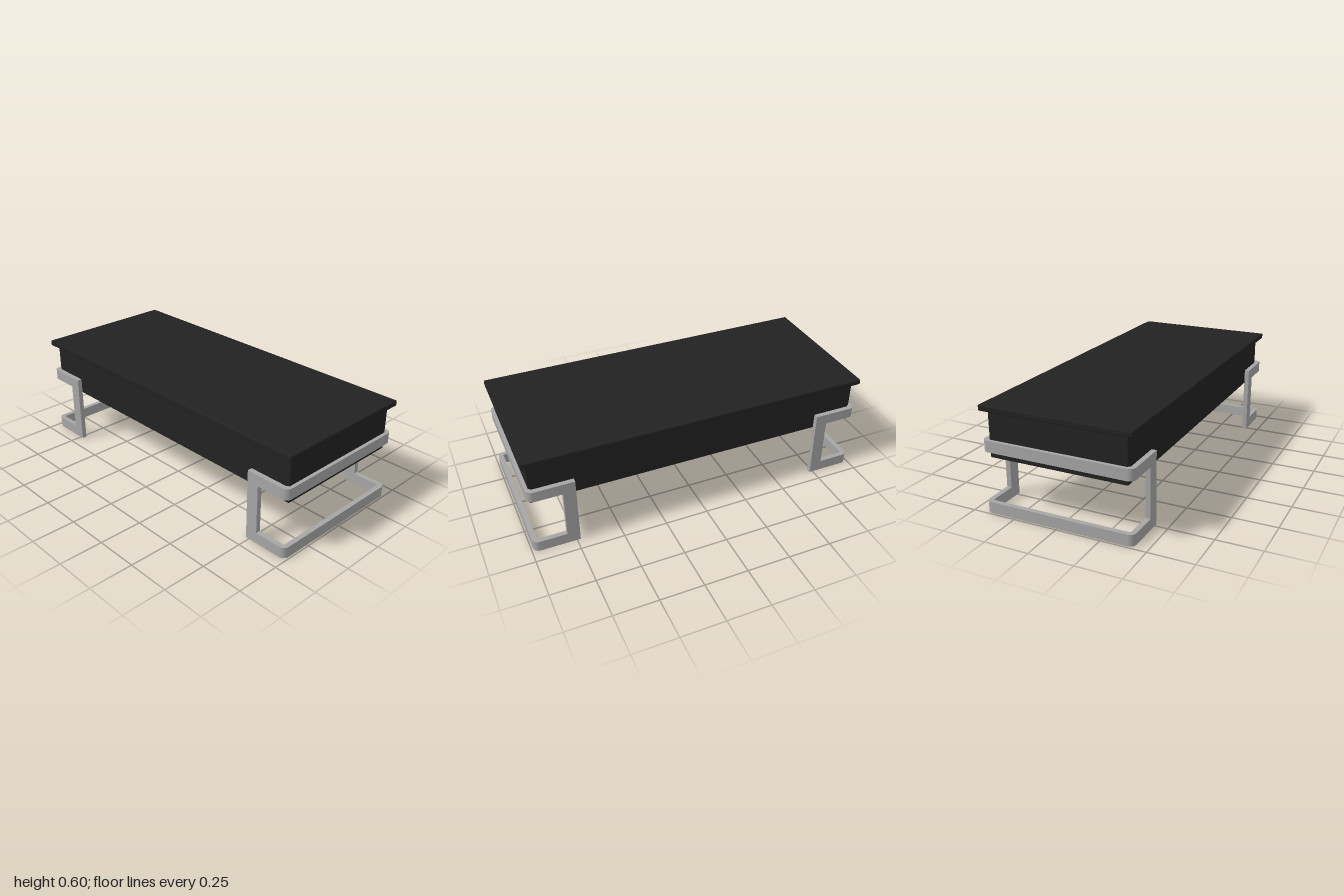
import * as THREE from 'three';
import { toCreasedNormals } from 'three/addons/utils/BufferGeometryUtils.js';
import { RoundedBoxGeometry } from 'three/addons/geometries/RoundedBoxGeometry.js';

const black = new THREE.MeshStandardMaterial({ color: 0x222222 });
black.name = 'blackWood';
const steel = new THREE.MeshStandardMaterial({ color: 0xa6a6a6 });
steel.name = 'brushedSteel';

const INNER_X = 0.73, POST_X = 0.8, OUTER_X = 0.99; // frame extents along x
const OUTER_Z = 0.428, BAR = 0.028, CORNER = 0.035; // half depth, bar thickness, bend radius
const BAND_H = 0.063, FRAME_H = 0.407;

function addMesh(parent, name, geometry, material, x, y, z) {
  const mesh = new THREE.Mesh(geometry, material);
  mesh.name = name;
  mesh.position.set(x, y, z);
  parent.add(mesh);
  return mesh;
}

// U-shaped flat bar wrapping one end of the table
function bandGeometry() {
  const x = OUTER_X, z = OUTER_Z, r = CORNER, t = BAR, ri = r - t;
  const s = new THREE.Shape();
  s.moveTo(INNER_X, -z);
  s.lineTo(x - r, -z);
  s.absarc(x - r, -z + r, r, -Math.PI / 2, 0, false);
  s.lineTo(x, z - r);
  s.absarc(x - r, z - r, r, 0, Math.PI / 2, false);
  s.lineTo(INNER_X, z);
  s.lineTo(INNER_X, z - t);
  s.lineTo(x - r, z - t);
  s.absarc(x - r, z - r, ri, Math.PI / 2, 0, true);
  s.lineTo(x - t, -z + r);
  s.absarc(x - r, -z + r, ri, 0, -Math.PI / 2, true);
  s.lineTo(INNER_X, -z + t);
  s.closePath();
  const g = new THREE.ExtrudeGeometry(s, { depth: BAND_H, bevelEnabled: false, curveSegments: 6 });
  g.rotateX(-Math.PI / 2);
  return toCreasedNormals(g, 0.6);
}

// Upper and lower bands joined by a post at the front and back
function legFrame(name) {
  const frame = new THREE.Group();
  frame.name = name;
  const band = bandGeometry();
  addMesh(frame, 'lowerBand', band, steel, 0, 0, 0);
  addMesh(frame, 'upperBand', band, steel, 0, FRAME_H - BAND_H, 0);
  const post = new THREE.BoxGeometry(POST_X - INNER_X, FRAME_H - 2 * BAND_H, BAR);
  for (const side of [1, -1]) {
    addMesh(frame, side > 0 ? 'frontPost' : 'backPost', post, steel,
      (INNER_X + POST_X) / 2, FRAME_H / 2, side * (OUTER_Z - BAR / 2));
  }
  return frame;
}

export function createModel() {
  const table = new THREE.Group();
  table.name = 'coffeeTable';

  // Top slab and body
  addMesh(table, 'tableTop', new RoundedBoxGeometry(2, 0.032, 0.856, 3, 0.007), black, 0, 0.582, 0);
  addMesh(table, 'body', new RoundedBoxGeometry(1.94, 0.262, 0.782, 2, 0.004), black, 0, 0.441, 0);

  // Leg frames at both ends
  table.add(legFrame('leftLegFrame'));
  const right = legFrame('rightLegFrame');
  right.rotation.y = Math.PI;
  table.add(right);

  return table;
}
